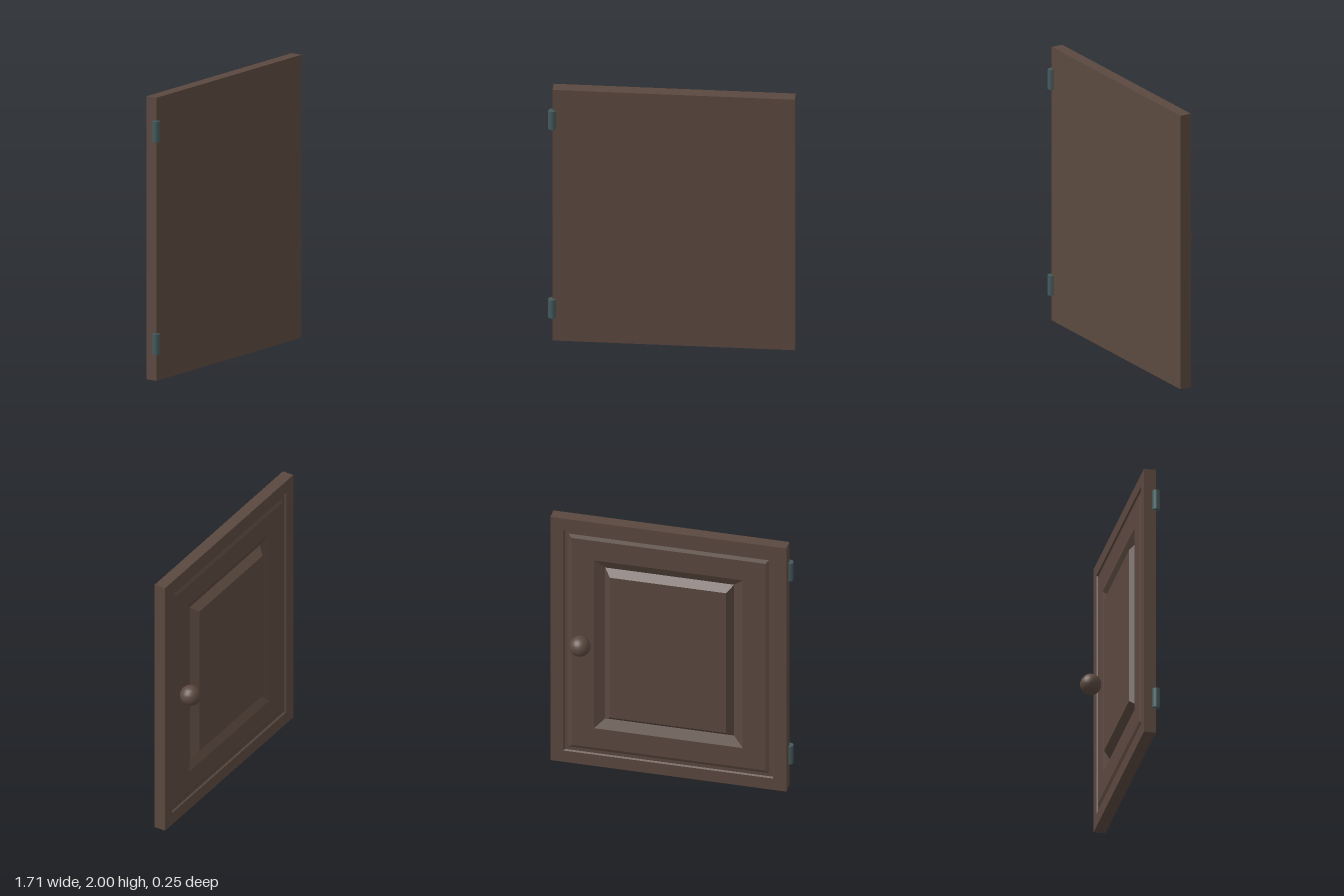
import * as THREE from 'three';

const wood = new THREE.MeshStandardMaterial({ color: 0x5a483f, flatShading: true });
const knobWood = new THREE.MeshStandardMaterial({ color: 0x5a483f });
const metal = new THREE.MeshStandardMaterial({ color: 0x44595b });

// Door outline and thickness
const X0 = -0.825, X1 = 0.85, HEIGHT = 2, FRONT = 0.1, BACK = 0.015;

// [inset from the outline, z] from the plain front, round the edge, to the raised back panel
const PROFILE = [
  [0, FRONT], [0, BACK],
  [0.093, BACK], [0.1, BACK + 0.012], [0.125, BACK + 0.012], [0.15, BACK], // thin border groove
  [0.31, BACK], [0.38, BACK + 0.036], [0.425, 0],                          // wide V groove up to panel
];

function rectRing([inset, z]) {
  const l = X0 + inset, r = X1 - inset, b = inset, t = HEIGHT - inset;
  return [[l, b, z], [r, b, z], [r, t, z], [l, t, z]];
}

// Joins the rectangles of the profile and caps both ends
function doorGeometry() {
  const pos = [];
  const quad = (a, b, c, d) => pos.push(...a, ...b, ...c, ...a, ...c, ...d);
  const rings = PROFILE.map(rectRing);
  quad(...rings[0]);
  for (let k = 0; k < rings.length - 1; k++) {
    for (let i = 0; i < 4; i++) {
      const j = (i + 1) % 4;
      quad(rings[k][i], rings[k + 1][i], rings[k + 1][j], rings[k][j]);
    }
  }
  quad(...rings[rings.length - 1].slice().reverse());
  const geo = new THREE.BufferGeometry();
  geo.setAttribute('position', new THREE.Float32BufferAttribute(pos, 3));
  geo.computeVertexNormals();
  return geo;
}

export function createModel() {
  const group = new THREE.Group();
  const add = (name, geo, mat, x, y, z) => {
    const mesh = new THREE.Mesh(geo, mat);
    mesh.name = name;
    mesh.position.set(x, y, z);
    group.add(mesh);
    return mesh;
  };

  add('doorPanel', doorGeometry(), wood, 0, 0, 0);

  // Round knob on the panelled side
  const knob = add('knob', new THREE.SphereGeometry(0.074, 20, 14), knobWood, 0.624, 1.015, -0.052);
  knob.rotation.x = Math.PI / 2;

  // Hinge barrels on the edge
  const barrel = new THREE.CylinderGeometry(0.027, 0.027, 0.145, 12);
  add('lowerHinge', barrel, metal, -0.828, 0.26, 0.1);
  add('upperHinge', barrel, metal, -0.828, 1.765, 0.1);

  return group;
}
